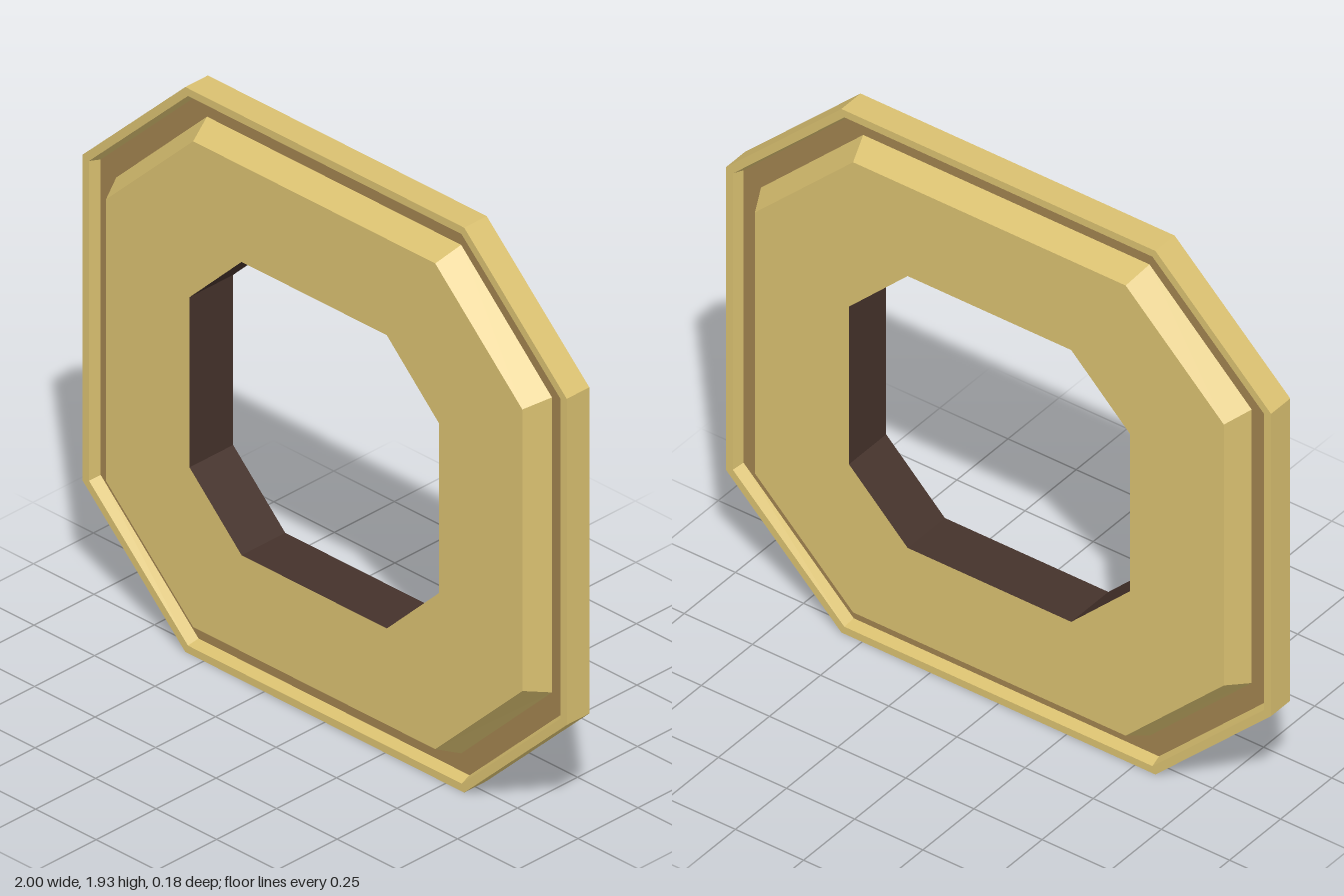
import * as THREE from 'three';

const CENTRE_Y = 0.963;

// Octagon with half-width w, half-height h and corner ends cx (top) and cy (side), counter-clockwise at depth z
function octagon(w, h, cx, cy, z) {
  return [[w, -cy], [w, cy], [cx, h], [-cx, h], [-w, cy], [-w, -cy], [-cx, -h], [cx, -h]]
    .map(([x, y]) => new THREE.Vector3(x, y, z));
}

// Flat-sided band of eight quads joining two octagons
function band(name, a, b, material) {
  const pts = [];
  for (let i = 0; i < 8; i++) {
    const j = (i + 1) % 8;
    pts.push(a[i], b[i], b[j], a[i], b[j], a[j]);
  }
  const geometry = new THREE.BufferGeometry().setFromPoints(pts);
  geometry.computeVertexNormals();
  const mesh = new THREE.Mesh(geometry, material);
  mesh.name = name;
  return mesh;
}

export function createModel() {
  const gold = new THREE.MeshStandardMaterial({ color: 0xd9c070 });
  gold.name = 'gold';
  const bronze = new THREE.MeshStandardMaterial({ color: 0xa0824e });
  bronze.name = 'bronze';
  const darkBrown = new THREE.MeshStandardMaterial({ color: 0x45322b });
  darkBrown.name = 'darkBrown';

  // Cross-section from the hole outwards: w, h, cx, cy, z
  const section = [
    [0.515, 0.5, 0.3, 0.29, 0.091],
    [0.86, 0.828, 0.5, 0.48, 0.091],
    [0.9, 0.867, 0.525, 0.503, 0.008],
    [0.964, 0.927, 0.56, 0.538, 0.008],
    [0.974, 0.937, 0.565, 0.545, 0.047],
    [1, 0.963, 0.576, 0.556, 0.047],
  ];
  const parts = [['Plate', gold], ['PlateBevel', gold], ['Groove', bronze], ['RimInnerWall', gold], ['RimFace', gold]];
  const front = section.map((s) => octagon(...s));
  const back = section.map(([w, h, cx, cy, z]) => octagon(w, h, cx, cy, -z));

  const model = new THREE.Group();
  model.name = 'octagonalRing';

  // Front and back faces mirror each other
  parts.forEach(([name, material], i) => {
    model.add(band('front' + name, front[i], front[i + 1], material));
    model.add(band('back' + name, back[i + 1], back[i], material));
  });

  // Outer edge and lining of the central hole
  model.add(band('outerEdge', front[5], back[5], gold));
  model.add(band('holeLining', back[0], front[0], darkBrown));

  model.children.forEach((mesh) => { mesh.position.y = CENTRE_Y; });
  return model;
}
